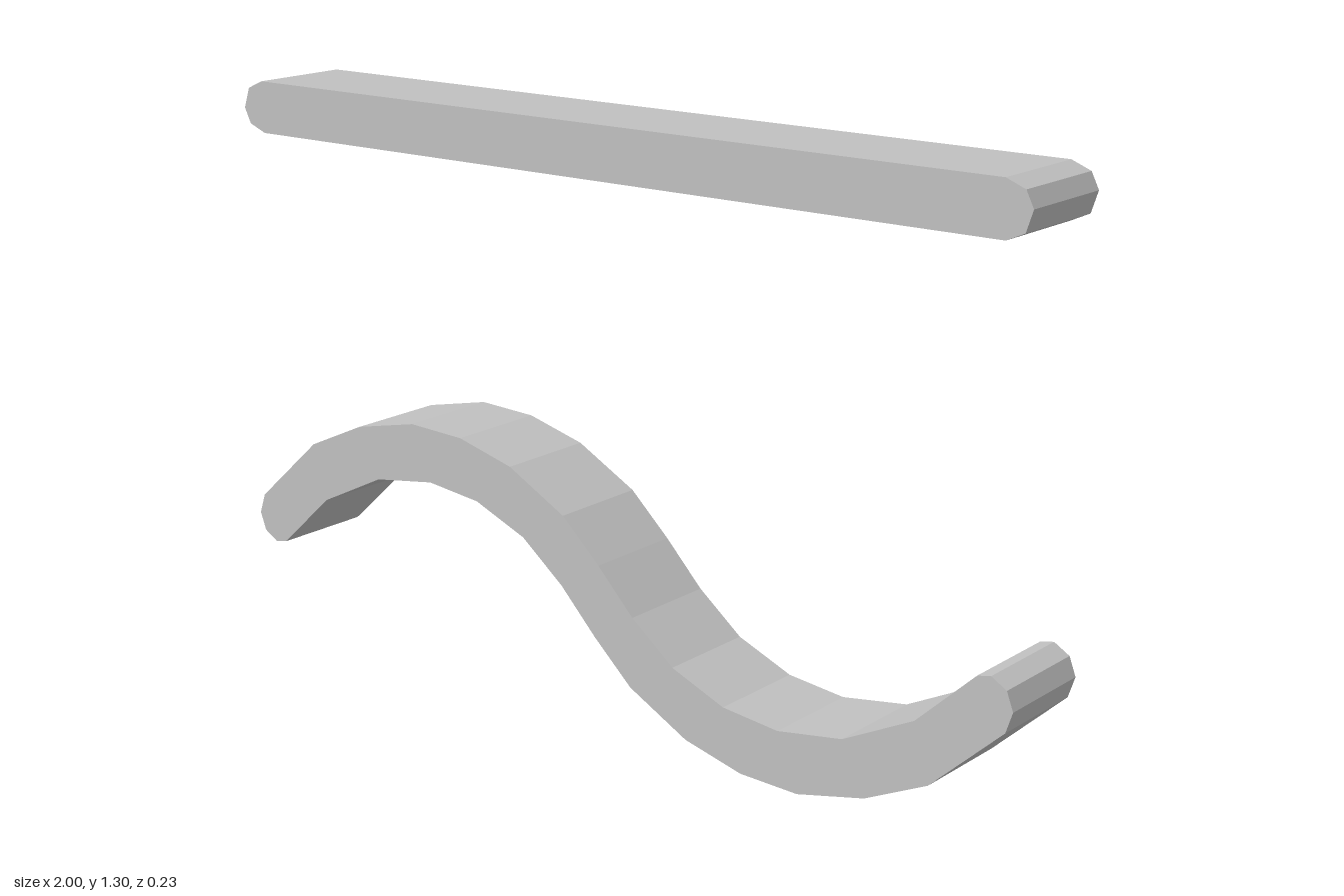
import * as THREE from 'three';

const DEPTH = 0.235;

// Extrude a closed outline along z, centred on z = 0
function plate(name, points, material) {
  const shape = new THREE.Shape(points.map(([x, y]) => new THREE.Vector2(x, y)));
  const geometry = new THREE.ExtrudeGeometry(shape, { depth: DEPTH, bevelEnabled: false });
  geometry.translate(0, 0, -DEPTH / 2);
  const mesh = new THREE.Mesh(geometry, material);
  mesh.name = name;
  return mesh;
}

// Complete an outline by turning its first half 180 degrees about (0, cy)
function turned(half, cy) {
  return [...half, ...half.map(([x, y]) => [-x, 2 * cy - y])];
}

export function createModel() {
  const group = new THREE.Group();
  group.name = 'waveAndBar';
  const grey = new THREE.MeshStandardMaterial({ color: 0xc0c0c0, flatShading: true });
  grey.name = 'light grey';

  // Straight bar with faceted round ends
  const bar = turned([
    [-1, 1.235], [-0.985, 1.28], [-0.945, 1.298], [0.94, 1.298], [0.983, 1.281],
  ], 1.241);
  group.add(plate('straightBar', bar, grey));

  // S-shaped wave: upper edge from left tip to right tip, then its rotated copy
  const wave = turned([
    [-1, 0.295], [-0.985, 0.34], [-0.82, 0.49], [-0.675, 0.556], [-0.515, 0.59],
    [-0.375, 0.583], [-0.235, 0.545], [-0.09, 0.465], [0.005, 0.375], [0.095, 0.28],
    [0.2, 0.195], [0.33, 0.14], [0.465, 0.123], [0.62, 0.145], [0.785, 0.225],
    [0.92, 0.35], [0.95, 0.356], [0.985, 0.335],
  ], 0.295);
  group.add(plate('waveBar', wave, grey));

  return group;
}
